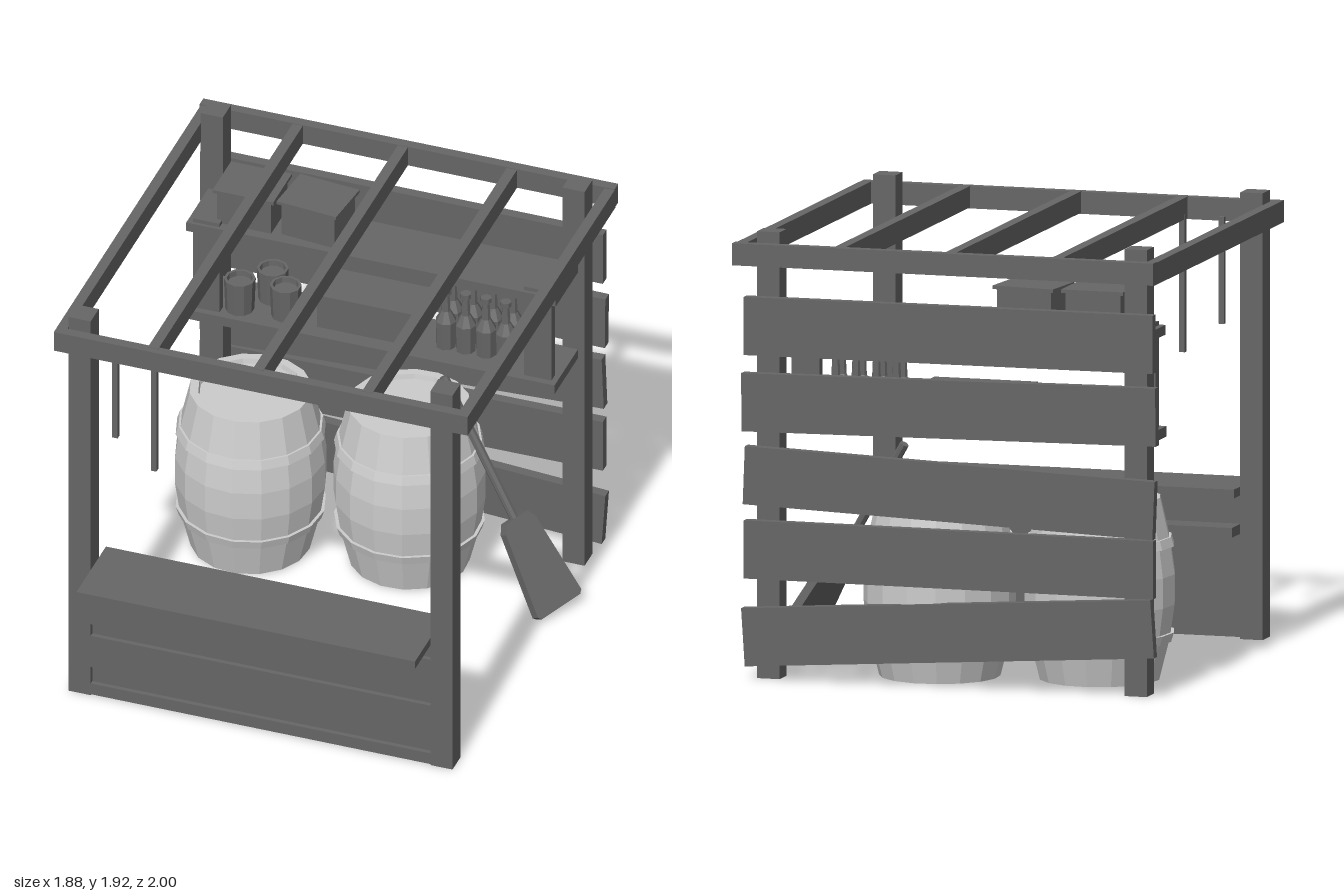
import * as THREE from 'three';

const dark = new THREE.MeshStandardMaterial({ color: 0x666666, flatShading: true });
const light = new THREE.MeshStandardMaterial({ color: 0xcccccc, flatShading: true });

function add(parent, name, geometry, material = dark) {
  const mesh = new THREE.Mesh(geometry, material);
  mesh.name = name;
  parent.add(mesh);
  return mesh;
}

// Box given by its limits on each axis
function box(parent, name, x0, x1, y0, y1, z0, z1) {
  const mesh = add(parent, name, new THREE.BoxGeometry(x1 - x0, y1 - y0, z1 - z0));
  mesh.position.set((x0 + x1) / 2, (y0 + y1) / 2, (z0 + z1) / 2);
  return mesh;
}

function lathe(parent, name, points, sides, material) {
  const profile = points.map(([r, y]) => new THREE.Vector2(r, y));
  return add(parent, name, new THREE.LatheGeometry(profile, sides), material);
}

function buildFrame(root) {
  for (const [x0, x1] of [[-0.89, -0.79], [0.745, 0.845]])
    for (const [z0, z1] of [[0.71, 0.81], [-0.925, -0.825]])
      box(root, 'post', x0, x1, 0, 1.92, z0, z1);
  box(root, 'frontBeam', -0.935, 0.935, 1.775, 1.87, 0.825, 0.87);
  box(root, 'backBeam', -0.94, 0.935, 1.78, 1.875, -0.995, -0.95);
  for (const x of [-0.912, 0.912])
    box(root, 'sideBeam', x - 0.023, x + 0.023, 1.775, 1.87, -0.96, 0.84);
  for (const x of [-0.497, -0.022, 0.471])
    box(root, 'rafter', x - 0.023, x + 0.023, 1.78, 1.872, -0.96, 0.84);
  // Rods hanging from the front of the roof
  box(root, 'hangingRod', -0.697, -0.672, 1.34, 1.8, 0.775, 0.8);
  box(root, 'hangingRod', -0.522, -0.497, 1.21, 1.8, 0.775, 0.8);
}

// Crooked planks: left end, right end, centre height at each end
function buildBackWall(root) {
  const planks = [
    [-0.93, 0.89, 1.522, 1.518], [-0.943, 0.9, 1.21, 1.19], [-0.935, 0.89, 0.808, 0.877],
    [-0.932, 0.89, 0.553, 0.558], [-0.93, 0.895, 0.3, 0.18],
  ];
  for (const [x0, x1, yl, yr] of planks) {
    const angle = Math.atan2(yr - yl, x1 - x0);
    const plank = add(root, 'backPlank', new THREE.BoxGeometry(x1 - x0, 0.25, 0.045));
    plank.position.set((x0 + x1) / 2, (yl + yr) / 2, -0.95);
    plank.rotation.z = angle;
  }
}

function buildCounter(root) {
  box(root, 'counterTop', -0.785, 0.745, 0.615, 0.653, 0.635, 1);
  box(root, 'counterInnerShelf', -0.785, 0.75, 0.45, 0.492, 0.61, 0.75);
  box(root, 'counterBacking', -0.8, 0.755, 0.01, 0.62, 0.735, 0.79);
  for (const [y0, y1] of [[0.005, 0.06], [0.145, 0.305], [0.365, 0.54]])
    box(root, 'counterBoard', -0.8, 0.755, y0, y1, 0.735, 0.81);
}

function crate(root, x, y, z, w, h, d, turn) {
  const group = new THREE.Group();
  group.name = 'crate';
  box(group, 'crateBody', -w / 2, w / 2, 0, h - 0.015, -d / 2, d / 2);
  box(group, 'crateLid', -w / 2 - 0.015, w / 2 + 0.015, h - 0.015, h, -d / 2 - 0.015, d / 2 + 0.015);
  group.position.set(x, y, z);
  group.rotation.y = turn;
  root.add(group);
}

function buildShelves(root) {
  box(root, 'upperShelf', -0.855, 0.815, 1.5, 1.542, -0.83, -0.55);
  box(root, 'lowerShelf', -0.855, 0.815, 1.06, 1.105, -0.83, -0.535);
  box(root, 'shelfSupport', -0.83, -0.71, 1.045, 1.56, -0.61, -0.565);
  box(root, 'shelfSupport', 0.667, 0.79, 1.045, 1.56, -0.61, -0.565);
  crate(root, -0.61, 1.542, -0.695, 0.245, 0.173, 0.2, 0);
  crate(root, -0.312, 1.542, -0.695, 0.25, 0.173, 0.2, -0.1);
  crate(root, -0.07, 1.105, -0.7, 0.43, 0.173, 0.19, 0);
  // Jars
  for (const [x, z] of [[-0.64, -0.625], [-0.535, -0.745], [-0.44, -0.645]])
    lathe(root, 'jar', [[0, 0], [0.062, 0], [0.068, 0.155], [0.056, 0.155], [0.054, 0.13], [0, 0.13]], 10)
      .position.set(x, 1.105, z);
  // Two rows of bottles
  const bottle = [[0, 0], [0.044, 0], [0.046, 0.13], [0.02, 0.18], [0.016, 0.265],
    [0.024, 0.265], [0.024, 0.287], [0, 0.287]];
  for (const x of [0.277, 0.367, 0.458, 0.548])
    for (const z of [-0.665, -0.755])
      lathe(root, 'bottle', bottle, 8).position.set(x, 1.105, z);
}

function buildBarrel(root, x, z, turn) {
  const barrel = new THREE.Group();
  barrel.name = 'barrel';
  lathe(barrel, 'barrelBody', [[0, 0.03], [0.22, 0.03], [0.225, 0.005], [0.258, 0.005], [0.305, 0.19],
    [0.325, 0.33], [0.325, 0.46], [0.305, 0.6], [0.262, 0.787], [0.225, 0.787], [0.22, 0.765], [0, 0.765]],
  16, light);
  for (const y of [0.19, 0.6]) {
    const s = y < 0.4 ? 0.006 : -0.006;
    lathe(barrel, 'barrelHoop', [[0.295, y - 0.02], [0.316 - s, y - 0.02], [0.316 + s, y + 0.02],
      [0.295, y + 0.02]], 16, light);
  }
  barrel.position.set(x, 0, z);
  barrel.rotation.y = turn;
  root.add(barrel);
}

function buildShovel(root) {
  const shovel = new THREE.Group();
  shovel.name = 'shovel';
  const top = new THREE.Vector3(0.29, 0.985, -0.603);
  const joint = new THREE.Vector3(0.64, 0.4, -0.513);
  // Axes: y along the handle, x across the blade
  const up = top.clone().sub(joint);
  const length = up.length();
  up.normalize();
  const across = new THREE.Vector3(0.1, 0.05, -0.21);
  across.addScaledVector(up, -across.dot(up)).normalize();
  const normal = new THREE.Vector3().crossVectors(across, up);
  shovel.quaternion.setFromRotationMatrix(new THREE.Matrix4().makeBasis(across, up, normal));
  shovel.position.copy(joint);
  const handle = add(shovel, 'shovelHandle', new THREE.CylinderGeometry(0.02, 0.02, length + 0.04, 8));
  handle.position.y = length / 2 - 0.02;
  const outline = [[-0.06, 0], [0.06, 0], [0.085, -0.04], [0.125, -0.42], [0.11, -0.435],
    [-0.11, -0.435], [-0.125, -0.42], [-0.085, -0.04]];
  const shape = new THREE.Shape(outline.map(([x, y]) => new THREE.Vector2(x, y)));
  const blade = add(shovel, 'shovelBlade',
    new THREE.ExtrudeGeometry(shape, { depth: 0.045, bevelEnabled: false }));
  blade.position.z = -0.022;
  root.add(shovel);
}

export function createModel() {
  const root = new THREE.Group();
  root.name = 'marketStall';
  buildFrame(root);
  buildBackWall(root);
  buildCounter(root);
  buildShelves(root);
  buildBarrel(root, -0.55, -0.513, 0.1);
  buildBarrel(root, 0.123, -0.635, 0.25);
  buildShovel(root);
  return root;
}
